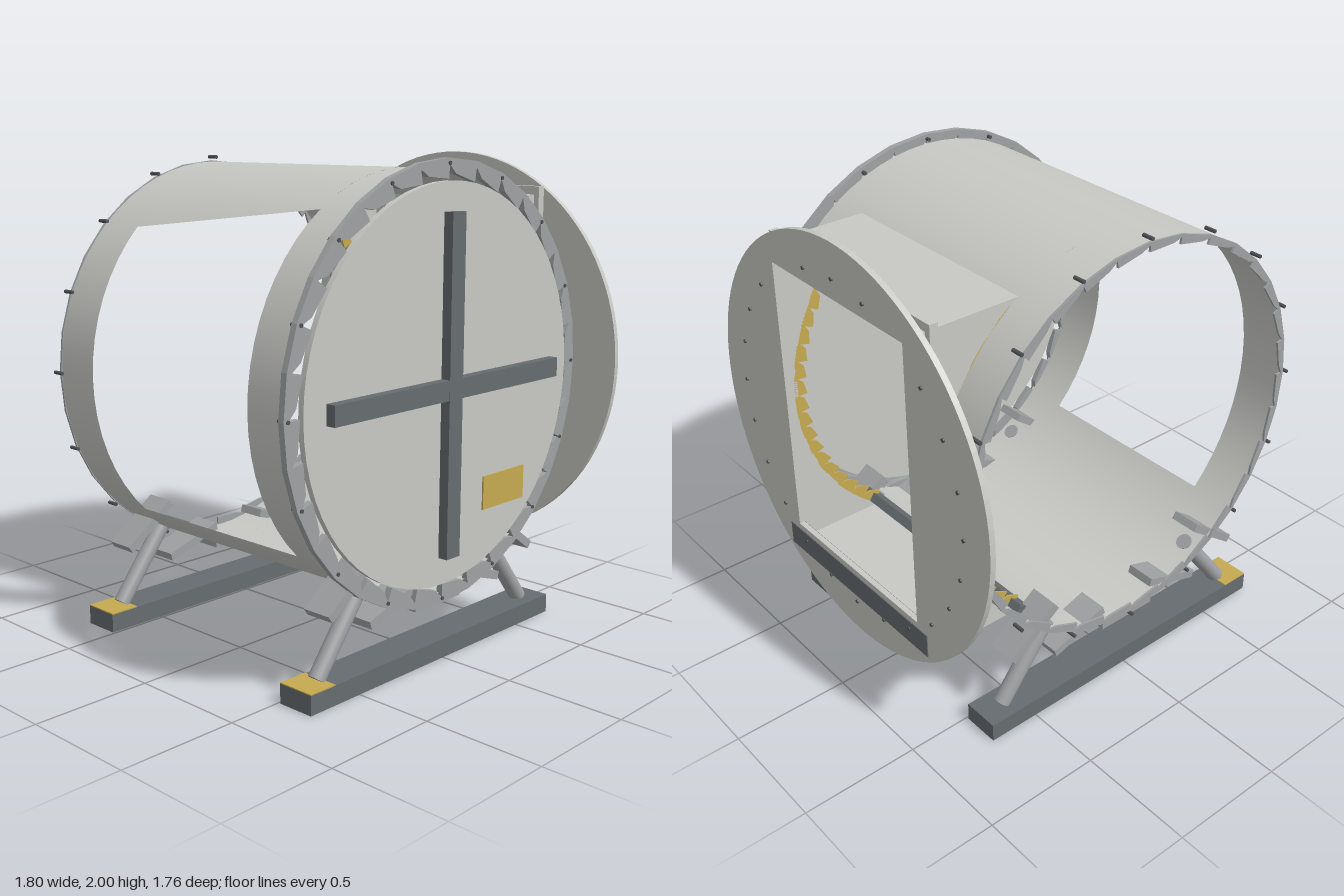
import * as THREE from 'three';

const CX = -0.02, CY = 1.12, R = 0.84;
const rad = THREE.MathUtils.degToRad;

function mat(name, color, side = THREE.FrontSide) {
  const m = new THREE.MeshStandardMaterial({ color, side });
  m.name = name;
  return m;
}

export function createModel() {
  const shellMat = mat('pale grey shell', 0xc8c8c4, THREE.DoubleSide);
  const steel = mat('mid grey steel', 0x9fa1a3);
  const dark = mat('dark grey steel', 0x666c70);
  const yellow = mat('ochre yellow', 0xc6aa50);
  const boltMat = mat('bolt grey', 0x505356);

  const root = new THREE.Group();
  root.name = 'chamber';
  // everything in this group is measured from the drum axis
  const drum = new THREE.Group();
  drum.name = 'drum';
  drum.position.set(CX, CY, 0);
  root.add(drum);

  const add = (parent, name, geo, material, x = 0, y = 0, z = 0) => {
    const m = new THREE.Mesh(geo, material);
    m.name = name;
    m.position.set(x, y, z);
    parent.add(m);
    return m;
  };
  const box = (parent, name, material, x0, x1, y0, y1, z0, z1) =>
    add(parent, name, new THREE.BoxGeometry(x1 - x0, y1 - y0, z1 - z0), material,
      (x0 + x1) / 2, (y0 + y1) / 2, (z0 + z1) / 2);

  // curved wall from angle a0 to a1 (degrees); the end angle may differ at z1
  const wall = (a0, a1, z0, z1, a1End = a1) => {
    const g = new THREE.PlaneGeometry(1, 1, Math.max(3, Math.ceil((a1 - a0) / 5.625)), 1);
    const p = g.attributes.position, n = g.attributes.normal;
    for (let i = 0; i < p.count; i++) {
      const u = p.getX(i) + 0.5, v = p.getY(i) + 0.5;
      const a = rad(a0 + u * (THREE.MathUtils.lerp(a1, a1End, v) - a0));
      p.setXYZ(i, R * Math.cos(a), R * Math.sin(a), z0 + v * (z1 - z0));
      n.setXYZ(i, Math.cos(a), Math.sin(a), 0);
    }
    add(drum, 'shellWall', g, shellMat);
  };
  // duct half with its opening, then the half with the slanted side opening
  wall(-90, 90, -0.68, -0.49);
  wall(-90, 90, 0.48, 0.66);
  wall(57, 90, -0.49, 0.48);
  wall(-90, -57, -0.49, 0.48);
  wall(90, 270, -0.68, -0.46);
  wall(90, 270, 0.45, 0.66);
  wall(90, 135, -0.46, 0.45, 123.75);
  wall(225, 270, -0.46, 0.45);

  // saw-tooth rims made of tapering plates
  const saw = (name, material, rIn, rOut, a0, a1, count, z, depth) => {
    const step = (a1 - a0) / count;
    const at = (r, a) => new THREE.Vector2(r * Math.cos(rad(a)), r * Math.sin(rad(a)));
    const shapes = [];
    for (let i = 0; i < count; i++) {
      const a = a0 + i * step, b = a + step;
      shapes.push(new THREE.Shape([
        at(rIn, a), at(rOut, a), at(rOut, b),
        at(rOut - (rOut - rIn) * 0.3, b), at(rIn + (rOut - rIn) * 0.25, a + step * 0.75)]));
    }
    add(drum, name, new THREE.ExtrudeGeometry(shapes, { depth, bevelEnabled: false }), material, 0, 0, z);
  };
  saw('frontRim', steel, 0.8, 0.88, 0, 360, 32, 0.648, 0.027);
  saw('backRim', steel, 0.805, 0.845, 0, 360, 32, -0.68, 0.01);
  saw('ductSealBack', yellow, 0.785, 0.845, -54, 54, 20, -0.49, 0.008);
  saw('ductSealFront', yellow, 0.785, 0.845, -54, 54, 20, 0.472, 0.008);

  // front door with its cross brace and label plate
  const door = add(drum, 'frontDoor', new THREE.CylinderGeometry(0.795, 0.795, 0.025, 64), shellMat, 0, 0, 0.673);
  door.rotation.x = Math.PI / 2;
  box(drum, 'braceHorizontal', dark, -0.68, 0.68, -0.04, 0.04, 0.68, 0.727);
  box(drum, 'braceVertical', dark, -0.04, 0.04, -0.68, 0.68, 0.68, 0.728);
  box(drum, 'labelPlate', yellow, 0.235, 0.51, -0.54, -0.4, 0.685, 0.692);

  // rim bolts
  for (let i = 0; i < 16; i++) {
    const a = rad(i * 22.5);
    for (const z of [-0.665, 0.655]) {
      const b = add(drum, 'rimBolt', new THREE.CylinderGeometry(0.008, 0.008, 0.05, 8), boltMat,
        0.86 * Math.cos(a), 0.86 * Math.sin(a), z);
      b.rotation.x = Math.PI / 2;
    }
  }

  // duct: flat top and floor, side walls cut to the drum curve
  const H = 0.705, xStart = 0.457, xEnd = 0.89;
  for (const y of [-H, H - 0.01])
    box(drum, 'ductPanel', shellMat, xStart, xEnd, y, y + 0.01, -0.49, 0.48);
  const side = new THREE.Shape();
  side.moveTo(xStart, -H);
  side.lineTo(xEnd, -H);
  side.lineTo(xEnd, H);
  side.lineTo(xStart, H);
  side.absarc(0, 0, R, rad(57), rad(-57), true);
  for (const z of [-0.49, 0.472])
    add(drum, 'ductSide', new THREE.ExtrudeGeometry(side, { depth: 0.008, bevelEnabled: false, curveSegments: 24 }),
      shellMat, 0, 0, z);

  const rect = (path, z0, z1, y0, y1) => {
    path.moveTo(z0, y0);
    path.lineTo(z1, y0);
    path.lineTo(z1, y1);
    path.lineTo(z0, y1);
    path.closePath();
    return path;
  };
  // plates facing sideways, extruded along x
  const sidePlate = (name, shape, hole, x, depth) => {
    shape.holes.push(hole);
    const m = add(drum, name, new THREE.ExtrudeGeometry(shape, { depth, bevelEnabled: false, curveSegments: 48 }),
      shellMat, x);
    m.rotation.y = Math.PI / 2;
  };
  sidePlate('ductFrame', rect(new THREE.Shape(), -0.505, 0.515, -0.712, 0.74),
    rect(new THREE.Path(), -0.472, 0.482, -0.695, 0.695), 0.828, 0.037);
  sidePlate('ductFlange', new THREE.Shape().absarc(0, 0, 0.88, 0, Math.PI * 2),
    rect(new THREE.Path(), -0.42, 0.42, -0.575, 0.65), 0.888, 0.024);
  box(drum, 'ductSill', dark, 0.87, 0.916, -0.705, -0.6, -0.485, 0.485);
  const beam = add(drum, 'ductFloorBeam', new THREE.BoxGeometry(0.06, 0.04, 1.1), dark, 0.485, -0.665, 0);
  beam.rotation.z = rad(35);

  // flange bolts, leaving out those over the opening
  for (let i = 0; i < 24; i++) {
    const a = rad(i * 15), z = 0.735 * Math.sin(a), y = 0.735 * Math.cos(a);
    if (Math.abs(z) < 0.42 && y > -0.575 && y < 0.65) continue;
    const b = add(drum, 'flangeBolt', new THREE.CylinderGeometry(0.008, 0.008, 0.02, 8), boltMat, 0.909, y, z);
    b.rotation.z = Math.PI / 2;
  }

  // two skids with legs and cradle pads
  for (const s of [-1, 1]) {
    const z = s * 0.59;
    box(root, 'skid', dark, -0.765, 0.725, 0, 0.08, z - 0.08, z + 0.08);
    box(root, 'skidEndMark', yellow, -0.765, -0.635, 0.079, 0.084, z - 0.08, z + 0.08);
    for (const d of [-1, 1]) {
      const foot = new THREE.Vector3(CX + d * 0.635, 0.085, z);
      const top = new THREE.Vector3(CX + d * 0.40, 0.39, z);
      const dir = top.clone().sub(foot);
      const leg = add(root, 'leg', new THREE.CylinderGeometry(0.035, 0.035, dir.length(), 20), steel);
      leg.position.copy(foot).addScaledVector(dir, 0.5);
      leg.quaternion.setFromUnitVectors(new THREE.Vector3(0, 1, 0), dir.normalize());
    }
    for (let i = -2; i <= 2; i++) {
      const a = rad(i * 18);
      const pad = add(drum, 'cradlePad', new THREE.BoxGeometry(0.28, 0.035, 0.13), steel,
        0.87 * Math.sin(a), -0.87 * Math.cos(a), z);
      pad.rotation.z = -a;
    }
  }
  return root;
}
